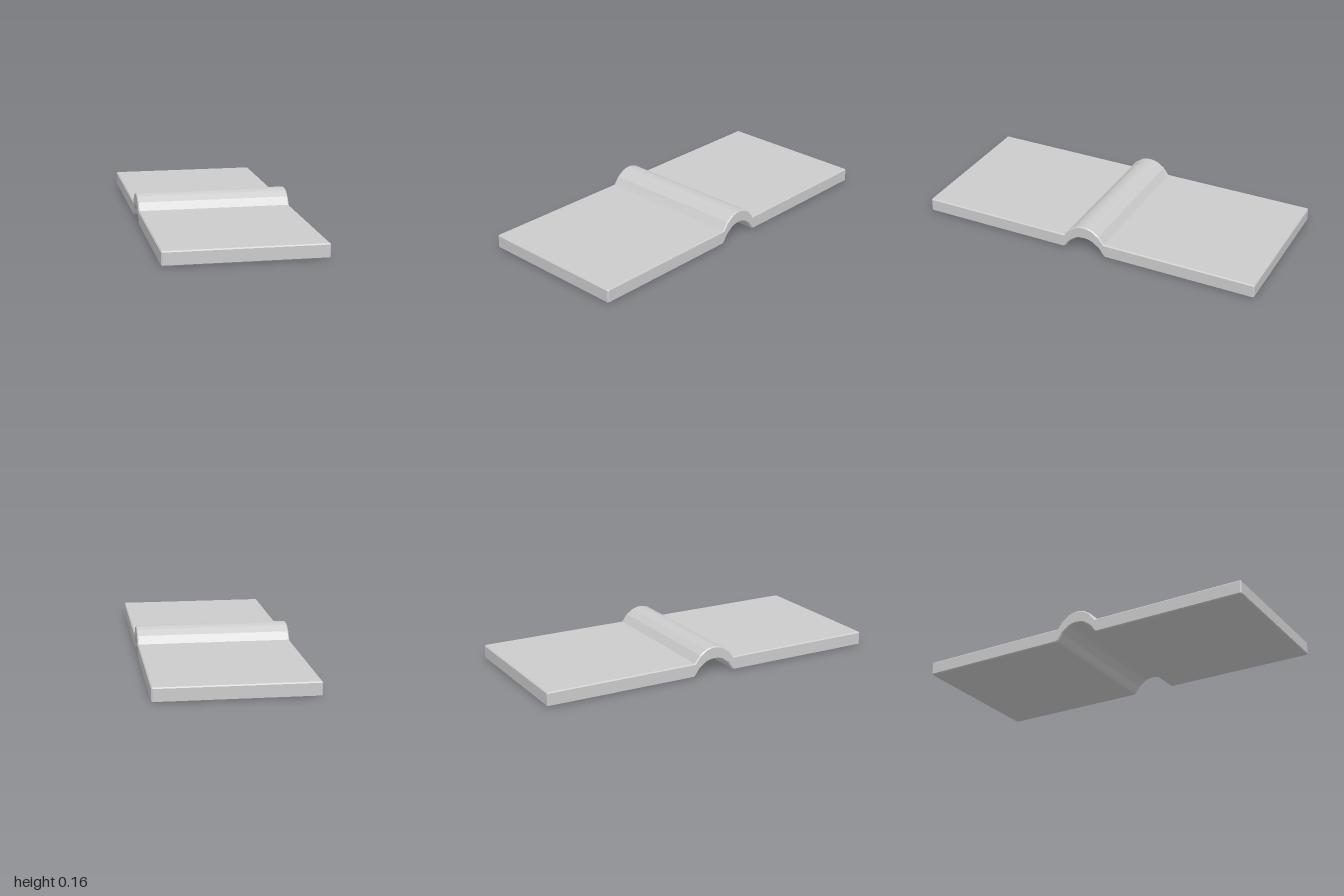
import * as THREE from 'three';

const WIDTH = 0.87;
const BEVEL = 0.006;

// Half of the side section as [z, y]; mirrored to give the full outline
const topHalf = [[0, 0.158], [0.024, 0.156], [0.05, 0.148], [0.09, 0.121], [0.112, 0.092], [0.122, 0.079], [0.994, 0.079], [1, 0.073]];
const bottomHalf = [[1, 0.006], [0.994, 0], [0.128, 0], [0.118, 0.008], [0.092, 0.045], [0.05, 0.076], [0.024, 0.084], [0, 0.086]];

export function createModel() {
  const group = new THREE.Group();
  const material = new THREE.MeshStandardMaterial({ color: 0xcccccc, flatShading: true });

  // Closed outline: front half, then its mirror image without the centre points
  const half = [...topHalf, ...bottomHalf];
  const mirrored = half.slice(1, -1).reverse().map(([z, y]) => [-z, y]);
  const outline = [...half, ...mirrored].map(([z, y]) => new THREE.Vector2(z, y));

  // Flat slab with an arched ridge across its middle, chamfered at both sides
  const geometry = new THREE.ExtrudeGeometry(new THREE.Shape(outline), {
    depth: WIDTH - 2 * BEVEL,
    bevelEnabled: true,
    bevelThickness: BEVEL,
    bevelSize: BEVEL,
    bevelOffset: -BEVEL,
    bevelSegments: 1,
  });
  geometry.translate(0, 0, BEVEL - WIDTH / 2);
  geometry.rotateY(-Math.PI / 2);

  const plate = new THREE.Mesh(geometry, material);
  plate.name = 'archedPlate';
  group.add(plate);
  return group;
}
